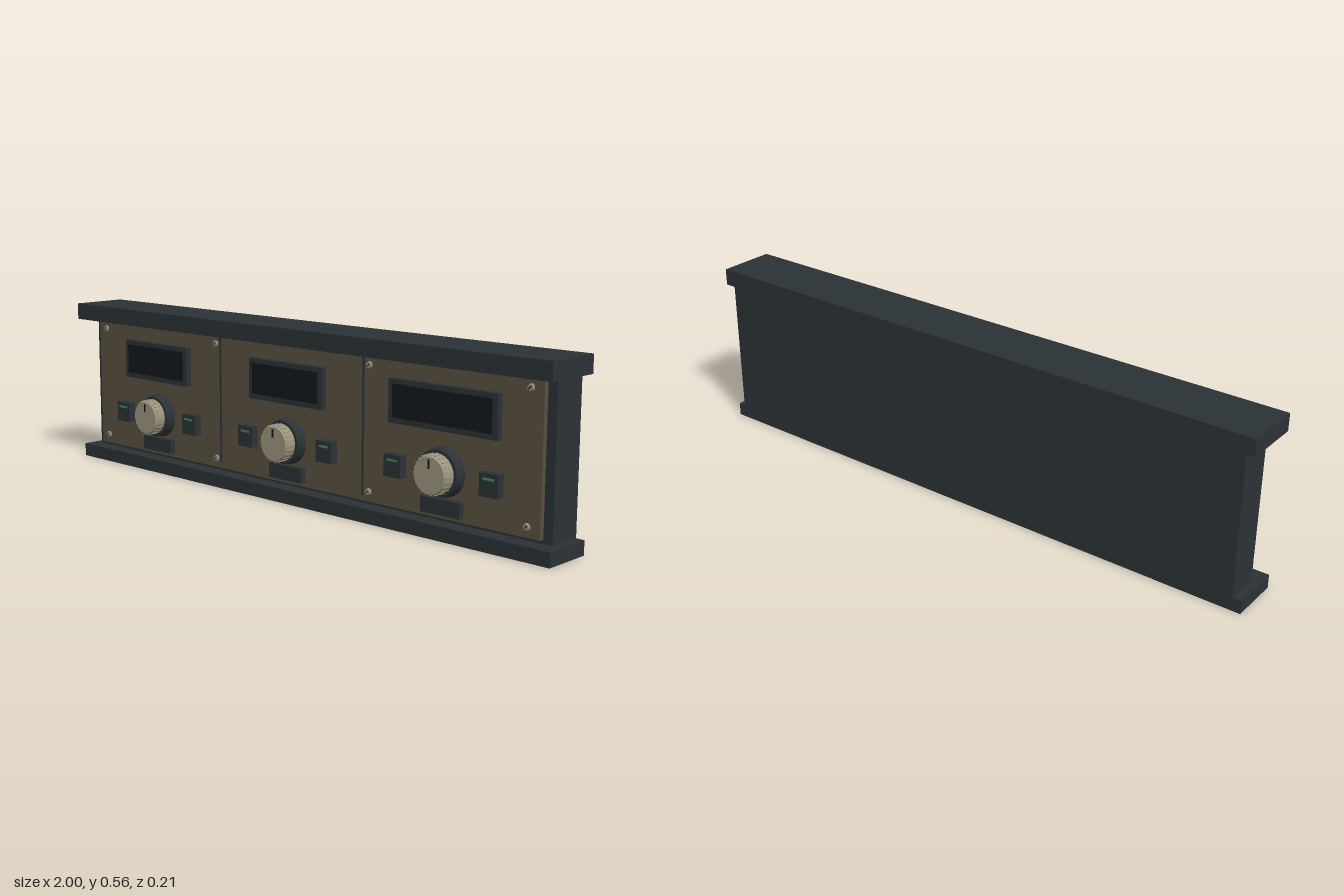
import * as THREE from 'three';

const mat = (color) => new THREE.MeshStandardMaterial({ color });

export function createModel() {
  const model = new THREE.Group();
  const dark = mat(0x2b3236), black = mat(0x13181b), bronze = mat(0x5a5041);
  const beige = mat(0x9c947c), green = mat(0x3f8a52), steel = mat(0x8c887c);

  const add = (parent, name, geometry, material) => {
    const mesh = new THREE.Mesh(geometry, material);
    mesh.name = name;
    parent.add(mesh);
    return mesh;
  };
  // Box given by its limits on each axis
  const box = (parent, name, material, x0, x1, y0, y1, z0, z1) => {
    const mesh = add(parent, name, new THREE.BoxGeometry(x1 - x0, y1 - y0, z1 - z0), material);
    mesh.position.set((x0 + x1) / 2, (y0 + y1) / 2, (z0 + z1) / 2);
    return mesh;
  };
  // Cylinder lying along z
  const disc = (parent, name, material, rBack, rFront, z0, z1, sides = 32) => {
    const geometry = new THREE.CylinderGeometry(rFront, rBack, z1 - z0, sides);
    geometry.rotateX(Math.PI / 2);
    const mesh = add(parent, name, geometry, material);
    mesh.position.z = (z0 + z1) / 2;
    return mesh;
  };

  // Housing
  box(model, 'body', dark, -0.972, 0.972, 0.044, 0.5, -0.097, 0.017);
  box(model, 'topCap', dark, -1, 1, 0.5, 0.555, -0.105, 0.086);
  box(model, 'base', dark, -1, 1, 0, 0.044, -0.095, 0.07);
  box(model, 'frontPanel', bronze, -0.942, 0.942, 0.056, 0.498, 0.017, 0.033);

  // Dividers between the three modules
  for (const x of [-0.31, 0.31])
    box(model, 'divider', dark, x - 0.003, x + 0.003, 0.075, 0.495, 0.033, 0.037);

  // Slotted corner screws
  for (const x of [-0.903, -0.333, 0.333, 0.9]) {
    for (const y of [0.469, 0.087]) {
      const screw = new THREE.Group();
      screw.name = 'screw';
      screw.position.set(x, y, 0);
      disc(screw, 'screwHead', steel, 0.011, 0.009, 0.033, 0.041, 16);
      const slot = box(screw, 'screwSlot', black, -0.007, 0.007, -0.001, 0.001, 0.04, 0.0418);
      slot.rotation.z = Math.PI / 4;
      model.add(screw);
    }
  }

  // Ribbed rotary knob in its skirt
  const createKnob = () => {
    const knob = new THREE.Group();
    knob.name = 'knob';
    disc(knob, 'knobSkirt', dark, 0.074, 0.069, 0.033, 0.066, 40);
    const profile = [[0, 0.066], [0.059, 0.066], [0.058, 0.097], [0.054, 0.104], [0, 0.104]]
      .map(([r, z]) => new THREE.Vector2(r, z));
    const geometry = new THREE.LatheGeometry(profile, 24).toNonIndexed();
    geometry.computeVertexNormals();
    geometry.rotateX(Math.PI / 2);
    add(knob, 'knobGrip', geometry, beige);
    for (let i = 0; i < 24; i++) {
      const a = (i / 24) * Math.PI * 2;
      const rib = box(knob, 'knobRib', beige, -0.002, 0.002, -0.002, 0.002, 0.067, 0.098);
      rib.position.x = Math.cos(a) * 0.058;
      rib.position.y = Math.sin(a) * 0.058;
      rib.rotation.z = a;
    }
    box(knob, 'knobPointer', black, -0.003, 0.003, 0.02, 0.047, 0.1, 0.106);
    return knob;
  };

  // Three instrument modules; the last has a wider display
  for (const [cx, half] of [[-0.617, 0.158], [0, 0.158], [0.615, 0.193]]) {
    const unit = new THREE.Group();
    unit.name = 'instrumentModule';
    unit.position.x = cx;
    model.add(unit);

    // Display
    box(unit, 'displayFrame', dark, -half, half, 0.313, 0.443, 0.033, 0.053);
    box(unit, 'displayGlass', black, -half + 0.017, half - 0.017, 0.33, 0.428, 0.05, 0.057);

    const knob = createKnob();
    knob.position.y = 0.194;
    unit.add(knob);
    box(unit, 'labelPlate', dark, -0.07, 0.07, 0.07, 0.117, 0.033, 0.053);

    // Push buttons with indicator bars
    for (const x of [-0.172, 0.172]) {
      box(unit, 'button', dark, x - 0.032, x + 0.032, 0.153, 0.22, 0.033, 0.059);
      box(unit, 'buttonLight', green, x - 0.018, x + 0.018, 0.201, 0.207, 0.057, 0.062);
    }
  }
  return model;
}
